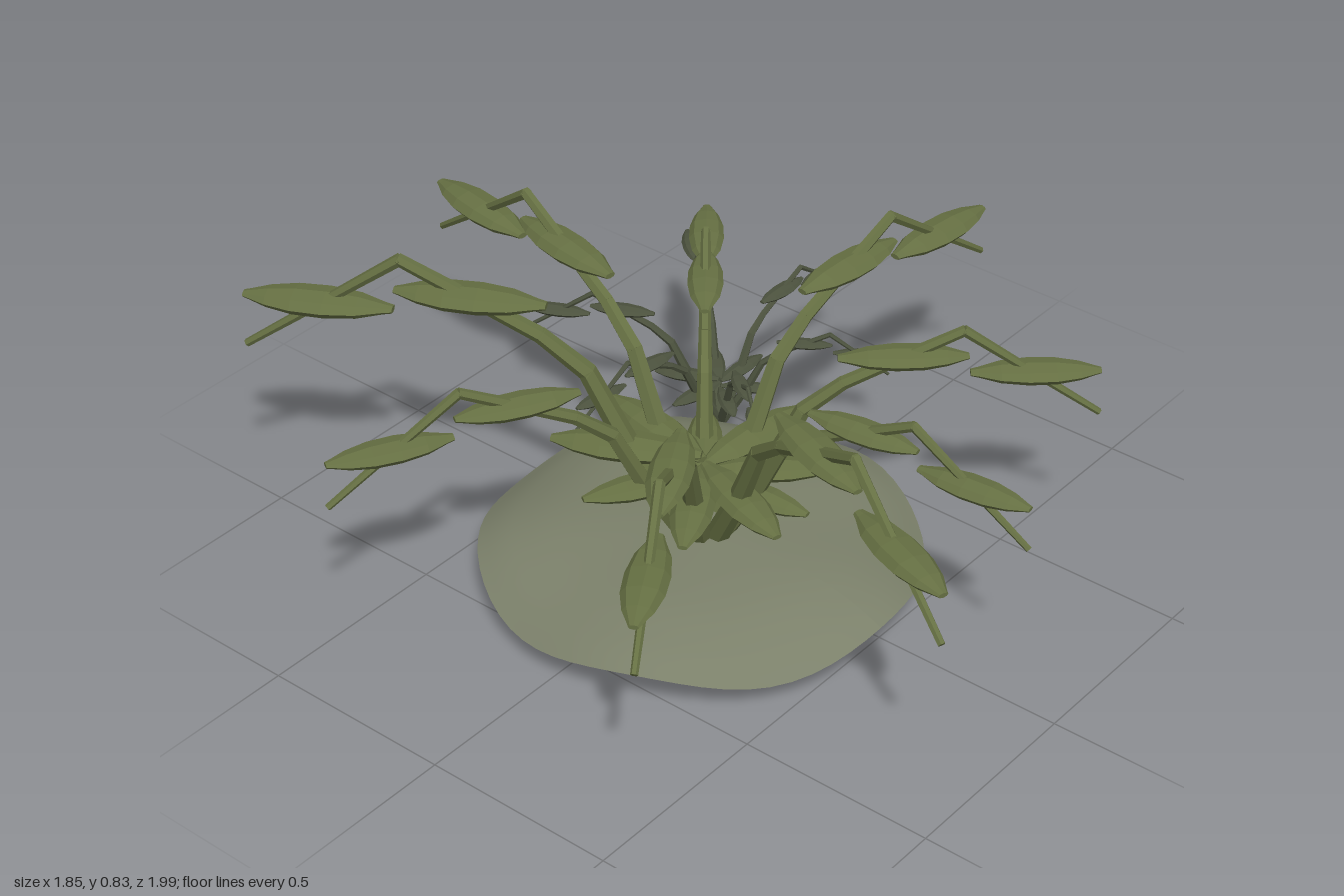
import * as THREE from 'three';

const leafGreen = new THREE.MeshStandardMaterial({ name: 'leaf green', color: 0x667043, flatShading: true });
const shadeGreen = new THREE.MeshStandardMaterial({ name: 'dark sprout green', color: 0x4c523e, flatShading: true });
const mound = new THREE.MeshStandardMaterial({ name: 'mossy stone', color: 0x7b806a });

// Side profile of one arm for a reach of 1: distance out, height, stem radius
const ARM = [[0.02, 0, 0.03], [0.16, 0.235, 0.026], [0.25, 0.42, 0.021], [0.35, 0.5, 0.018], [0.65, 0.65, 0.014], [1, 0.4, 0.009]];
// Leaf pads: centre distance, centre height
const PADS = [[0.17, 0.24], [0.5, 0.575], [0.835, 0.525]];

// Spindle pad with blunt ends, lying along x
const padProfile = [[0, -0.165], [0.014, -0.165], [0.02, -0.145], [0.042, -0.09], [0.052, -0.02], [0.05, 0.05], [0.036, 0.11], [0.018, 0.15], [0.012, 0.165], [0, 0.165]];
const padGeometry = new THREE.LatheGeometry(padProfile.map(([r, y]) => new THREE.Vector2(r, y)), 8);
padGeometry.rotateZ(-Math.PI / 2).scale(1, 0.5, 1);

function stemPiece(a, b, material) {
  const from = new THREE.Vector3(a[0], a[1], 0);
  const to = new THREE.Vector3(b[0], b[1], 0);
  const dir = to.clone().sub(from);
  const mesh = new THREE.Mesh(new THREE.CylinderGeometry(b[2], a[2], dir.length() + 0.008, 6), material);
  mesh.position.copy(from).add(to).multiplyScalar(0.5);
  mesh.quaternion.setFromUnitVectors(new THREE.Vector3(0, 1, 0), dir.normalize());
  mesh.name = 'stem';
  return mesh;
}

function makeArm(material) {
  const arm = new THREE.Group();
  arm.name = 'arm';
  for (let i = 1; i < ARM.length; i++) arm.add(stemPiece(ARM[i - 1], ARM[i], material));
  for (const [x, y] of PADS) {
    const pad = new THREE.Mesh(padGeometry, material);
    pad.name = 'leafPad';
    pad.position.set(x, y, 0);
    arm.add(pad);
  }
  return arm;
}

// A ring of arms; tips are the arm ends as [x, z]
function makePlant(name, x, y, z, tips, material) {
  const plant = new THREE.Group();
  plant.name = name;
  plant.position.set(x, y, z);
  for (const [tx, tz] of tips) {
    const arm = makeArm(material);
    arm.scale.setScalar(Math.hypot(tx - x, tz - z));
    arm.rotation.y = -Math.atan2(tz - z, tx - x);
    plant.add(arm);
  }
  return plant;
}

// Half of the mound, with a rim that waves up and down
function moundHalf(name, profile) {
  const curve = new THREE.SplineCurve(profile.map(([r, y]) => new THREE.Vector2(r, y)));
  const geo = new THREE.LatheGeometry(curve.getPoints(16), 64);
  const p = geo.attributes.position;
  for (let i = 0; i < p.count; i++) {
    const r = Math.hypot(p.getX(i), p.getZ(i)) / 0.54;
    const a = Math.atan2(p.getZ(i), p.getX(i));
    p.setY(i, p.getY(i) + 0.018 * r ** 3 * Math.sin(5 * a + 0.4));
  }
  geo.computeVertexNormals();
  const mesh = new THREE.Mesh(geo, mound);
  mesh.name = name;
  mesh.position.set(-0.075, 0, 0.018);
  return mesh;
}

export function createModel() {
  const model = new THREE.Group();
  model.name = 'plantOnMound';
  model.add(
    moundHalf('moundUnderside', [[0, 0.003], [0.25, 0.015], [0.42, 0.042], [0.54, 0.09]]),
    moundHalf('moundTop', [[0.54, 0.09], [0.45, 0.132], [0.3, 0.165], [0, 0.18]]),
    makePlant('largePlant', -0.08, 0.1, 0.03, [
      [0.91, 0.12], [0.53, 0.73], [0.01, 0.89], [-0.45, 0.98], [-0.92, 0.53],
      [-0.88, -0.41], [-0.6, -0.95], [0.12, -0.99], [0.58, -0.5],
    ], leafGreen),
    makePlant('smallPlant', 0.4, 0.065, -0.31, [
      [0.88, -0.29], [0.63, 0.05], [0.16, 0.02], [-0.07, -0.38], [0.18, -0.77], [0.73, -0.69],
    ], shadeGreen),
  );
  return model;
}
